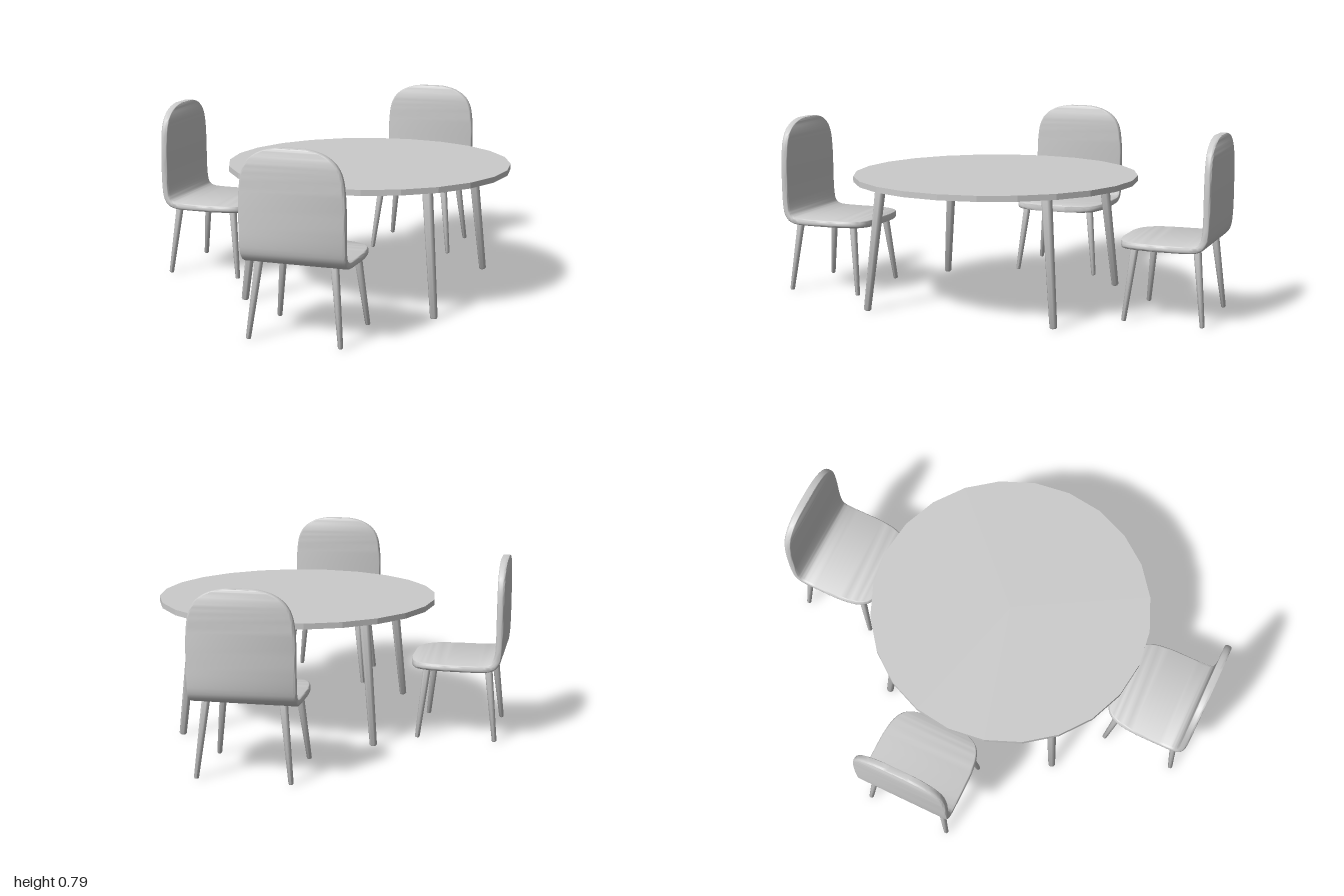
import * as THREE from 'three';
import { toCreasedNormals } from 'three/addons/utils/BufferGeometryUtils.js';

const material = new THREE.MeshStandardMaterial({ color: 0xcccccc });
const flatMaterial = new THREE.MeshStandardMaterial({ color: 0xcccccc, flatShading: true });

function addMesh(parent, name, geometry, mat = material) {
  const mesh = new THREE.Mesh(geometry, mat);
  mesh.name = name;
  parent.add(mesh);
  return mesh;
}

// Tapered round leg with a softened foot, running from foot to top
function addLeg(parent, name, foot, top, rFoot, rTop) {
  const dir = top.clone().sub(foot);
  const len = dir.length();
  const profile = [[0, 0], [rFoot * 0.7, 0], [rFoot, rFoot * 0.4], [rTop, len], [0, len]]
    .map(([r, y]) => new THREE.Vector2(r, y));
  const leg = addMesh(parent, name, toCreasedNormals(new THREE.LatheGeometry(profile, 16), 0.9));
  leg.position.copy(foot);
  leg.quaternion.setFromUnitVectors(new THREE.Vector3(0, 1, 0), dir.normalize());
}

// Four splayed legs; the halves give the x and z offsets of foot and top
function addLegs(parent, name, zMid, footHalf, topHalf, height, rFoot, rTop) {
  for (const sx of [-1, 1]) for (const sz of [-1, 1]) {
    const foot = new THREE.Vector3(sx * footHalf[0], 0.002, zMid + sz * footHalf[1]);
    const top = new THREE.Vector3(sx * topHalf[0], height, zMid + sz * topHalf[1]);
    addLeg(parent, name, foot, top, rFoot, rTop);
  }
}

// Rounded-rectangle section, counter-clockwise
function section(w, h, r) {
  const pts = [];
  const corners = [[1, -1], [1, 1], [-1, 1], [-1, -1]];
  corners.forEach(([sx, sy], q) => {
    for (let k = 0; k <= 4; k++) {
      const a = (q - 1) * Math.PI / 2 + k * Math.PI / 8;
      pts.push([sx * (w - r) + r * Math.cos(a), sy * (h - r) + r * Math.sin(a)]);
    }
  });
  return pts;
}

// One-piece seat and back: sections swept from seat front to the top of the back
function shellGeometry() {
  // half width, height, distance from the rear
  const stations = [
    [0.07, 0.326, 0.415], [0.12, 0.326, 0.407], [0.165, 0.326, 0.391], [0.19, 0.326, 0.37],
    [0.21, 0.327, 0.33], [0.222, 0.327, 0.25], [0.223, 0.327, 0.17], [0.223, 0.328, 0.1],
    [0.223, 0.331, 0.068], [0.223, 0.341, 0.043], [0.223, 0.363, 0.027], [0.223, 0.4, 0.02],
    [0.223, 0.46, 0.017], [0.223, 0.56, 0.0165], [0.219, 0.63, 0.0165], [0.21, 0.685, 0.0165],
    [0.192, 0.724, 0.0165], [0.165, 0.752, 0.0165], [0.128, 0.773, 0.0165], [0.085, 0.785, 0.0165],
    [0.05, 0.79, 0.0165],
  ].map((s) => new THREE.Vector3(...s));
  const curve = new THREE.CatmullRomCurve3(stations, false, 'centripetal');
  const steps = (stations.length - 1) * 3;
  const positions = [], index = [];
  let n = 0;
  for (let i = 0; i <= steps; i++) {
    const p = curve.getPoint(i / steps);
    const t = curve.getTangent(i / steps);
    const len = Math.hypot(t.y, t.z);
    const ny = -t.z / len, nz = t.y / len;
    const end = i === 0 || i === steps;
    const ring = section(p.x, end ? 0.011 : 0.0155, 0.0105);
    n = ring.length;
    for (const [x, d] of ring) positions.push(x, p.y + ny * d, p.z + nz * d);
  }
  for (let i = 0; i < steps; i++) {
    for (let j = 0; j < n; j++) {
      const a = i * n + j, b = i * n + (j + 1) % n;
      index.push(a, a + n, b, b, a + n, b + n);
    }
  }
  const last = steps * n;
  for (let j = 1; j < n - 1; j++) {
    index.push(0, j, j + 1, last, last + j + 1, last + j);
  }
  const geometry = new THREE.BufferGeometry();
  geometry.setAttribute('position', new THREE.Float32BufferAttribute(positions, 3));
  geometry.setIndex(index);
  return toCreasedNormals(geometry, 0.9);
}

// Chair facing +z with its rear at z = 0
function createChair(shell) {
  const chair = new THREE.Group();
  chair.name = 'chair';
  addMesh(chair, 'seatAndBack', shell);
  addLegs(chair, 'chairLeg', 0.2, [0.196, 0.17], [0.16, 0.134], 0.322, 0.0105, 0.017);
  return chair;
}

function createTable() {
  const table = new THREE.Group();
  table.name = 'table';
  const top = addMesh(table, 'tableTop', new THREE.CylinderGeometry(0.632, 0.632, 0.025, 24), flatMaterial);
  top.position.y = 0.558;
  addLegs(table, 'tableLeg', 0, [0.43, 0.43], [0.38, 0.38], 0.548, 0.016, 0.023);
  return table;
}

export function createModel() {
  const model = new THREE.Group();
  model.name = 'diningSet';

  const table = createTable();
  table.position.set(0.168, 0, 0.03);
  model.add(table);

  // Chairs: x, z of the rear edge and turn about y
  const shell = shellGeometry();
  for (const [x, z, turn] of [[0.167, 1, Math.PI], [0.167, -1, 0], [-0.8, -0.042, Math.PI / 2]]) {
    const chair = createChair(shell);
    chair.position.set(x, 0, z);
    chair.rotation.y = turn;
    model.add(chair);
  }
  return model;
}
